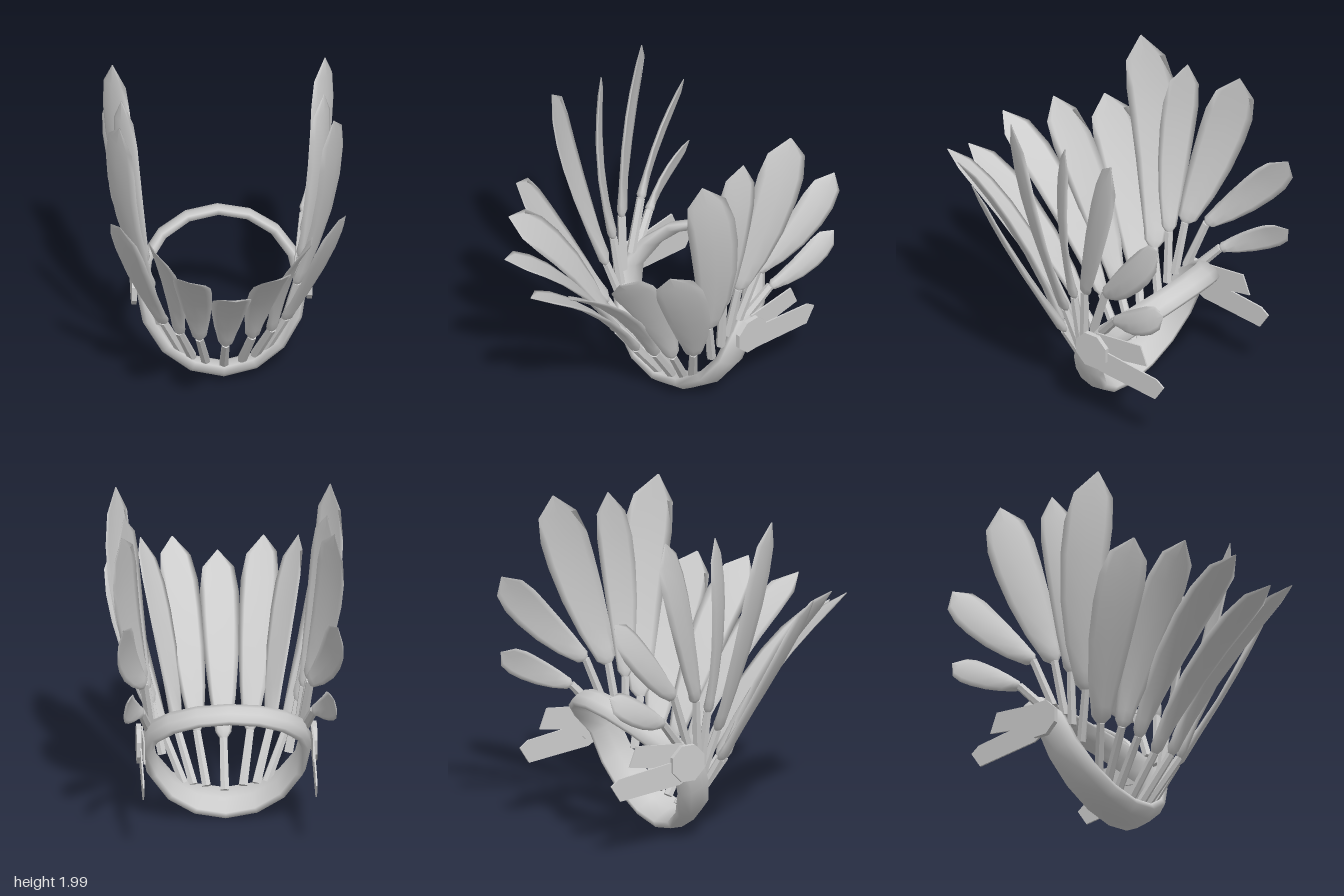
import * as THREE from 'three';

const V = (x, y, z) => new THREE.Vector3(x, y, z);
const material = new THREE.MeshStandardMaterial({ color: 0xcccccc, side: THREE.DoubleSide });
const flat = new THREE.MeshStandardMaterial({ color: 0xcccccc, side: THREE.DoubleSide, flatShading: true });

function add(parent, name, geometry, mat = material) {
  const mesh = new THREE.Mesh(geometry, mat);
  mesh.name = name;
  parent.add(mesh);
}

// Skin a list of equal-length point rings; "loop" joins the last ring to the first.
function loft(rings, loop = false) {
  const n = rings[0].length, m = rings.length, index = [];
  for (let i = 0; i < (loop ? m : m - 1); i++) {
    for (let j = 0; j < n; j++) {
      const k = (j + 1) % n, next = ((i + 1) % m) * n;
      index.push(i * n + j, i * n + k, next + j, i * n + k, next + k, next + j);
    }
  }
  const g = new THREE.BufferGeometry().setFromPoints(rings.flat());
  g.setIndex(index);
  g.computeVertexNormals();
  return g;
}

// Flat band: bent at the sides, with a constant width direction.
function bandGeometry() {
  const axis = V(0, 0.36, 0.93).normalize(), steps = 16;
  const centre = (i) => {
    const a = (i / steps) * Math.PI * 2, s = -Math.cos(a);
    return s < 0
      ? V(0.475 * Math.sin(a), 0.55 + 0.48 * s, -0.34 - 0.175 * s)
      : V(0.475 * Math.sin(a), 0.55 + 0.31 * s, -0.34 - 0.35 * s);
  };
  const section = [[1, 0.4], [0.4, 1], [-0.4, 1], [-1, 0.4], [-1, -0.5], [0, -0.9], [1, -0.5]];
  const rings = [];
  for (let i = 0; i < steps; i++) {
    const t = centre(i + 1).sub(centre(i - 1)).normalize();
    const v = t.clone().cross(axis).normalize();
    const back = (1 - Math.cos((i / steps) * Math.PI * 2)) / 2;
    rings.push(section.map(([p, q]) => centre(i)
      .addScaledVector(axis, p * (0.115 - 0.038 * back))
      .addScaledVector(v, q * (0.046 - 0.012 * back))));
  }
  return loft(rings, true);
}

// Blade outline: position along the quill, share of full width, half thickness.
const outline = [
  [0, 0.2, 0.018], [0.03, 0.42, 0.03], [0.08, 0.49, 0.026], [0.2, 0.69, 0.018], [0.4, 0.9, 0.014],
  [0.6, 1.01, 0.012], [0.75, 1.02, 0.01], [0.89, 0.83, 0.008], [1, 0.03, 0.003],
];

function bladeGeometry(base, tip, bow, facing, halfWidth) {
  const mid = base.clone().lerp(tip, 0.5).addScaledVector(bow, 2);
  const curve = new THREE.QuadraticBezierCurve3(base, mid, tip);
  const rings = outline.map(([t, w, thick]) => {
    const c = curve.getPoint(t), dir = curve.getTangent(t);
    const side = dir.clone().cross(facing).normalize();
    const normal = side.clone().cross(dir);
    const ring = [];
    for (let j = 0; j < 8; j++) {
      const a = (j / 8) * Math.PI * 2, u = Math.cos(a);
      // The edges cup slightly away from the outer face.
      const depth = -Math.sin(a) * thick - u * u * w * halfWidth * 0.15;
      ring.push(c.clone().addScaledVector(side, u * w * halfWidth).addScaledVector(normal, depth));
    }
    return ring;
  });
  return loft(rings);
}

function stemGeometry(from, to) {
  const d = to.clone().sub(from);
  const g = new THREE.CylinderGeometry(0.026, 0.03, d.length(), 6);
  g.applyQuaternion(new THREE.Quaternion().setFromUnitVectors(V(0, 1, 0), d.normalize()));
  const c = from.clone().lerp(to, 0.5);
  return g.translate(c.x, c.y, c.z);
}

// Left side, front to back: root, blade base, tip, bow, facing angle, half width.
const feathers = [
  [[0, 0.13, -0.11], [0, 0.39, 0.08], [0, 1.25, 0.965], [0, 0.06, -0.05], 0, 0.115],
  [[0.11, 0.16, -0.11], [0.16, 0.44, 0.08], [0.275, 1.365, 0.915], [0, 0.06, -0.05], 14, 0.115],
  [[0.19, 0.18, -0.13], [0.28, 0.47, 0.05], [0.475, 1.455, 0.685], [-0.01, 0.05, -0.04], 50, 0.12],
  [[0.25, 0.2, -0.15], [0.37, 0.49, -0.04], [0.66, 1.475, 0.44], [0.05, 0.02, 0], 48, 0.14],
  [[0.38, 0.4, -0.18], [0.44, 0.7, -0.1], [0.645, 2, 0.155], [0.08, 0, -0.01], 57, 0.145],
  [[0.43, 0.5, -0.21], [0.47, 0.83, -0.19], [0.61, 1.95, -0.225], [0.03, 0, 0.045], 52, 0.105],
  [[0.45, 0.57, -0.25], [0.5, 0.92, -0.29], [0.64, 1.975, -0.595], [0.045, 0, 0], 58, 0.142],
  [[0.46, 0.65, -0.33], [0.5, 0.97, -0.45], [0.645, 1.52, -0.955], [0.045, -0.025, 0], 55, 0.11],
  [[0.47, 0.66, -0.4], [0.52, 0.82, -0.54], [0.62, 1.06, -0.975], [0.035, -0.02, 0.01], 55, 0.085],
];

// Side ribbons drawn as (z, y) corners.
const ribbons = [
  [[-0.35, 0.55], [-0.39, 0.67], [-0.72, 0.7], [-0.77, 0.575], [-0.4, 0.52]],
  [[-0.35, 0.46], [-0.44, 0.57], [-0.85, 0.515], [-0.905, 0.475], [-0.84, 0.375], [-0.42, 0.42]],
];

export function createModel() {
  const model = new THREE.Group();
  model.name = 'featherHeaddress';
  add(model, 'headband', bandGeometry());

  for (const side of [1, -1]) {
    const label = side > 0 ? 'left' : 'right';
    const point = ([x, y, z]) => V(x * side, y, z);

    feathers.forEach(([root, base, tip, bow, angle, halfWidth], i) => {
      if (i === 0 && side < 0) return;
      const feather = new THREE.Group();
      feather.name = i === 0 ? 'centreFeather' : `${label}Feather${i}`;
      const a = THREE.MathUtils.degToRad(angle);
      const facing = V(Math.sin(a) * side, 0, Math.cos(a));
      add(feather, 'stem', stemGeometry(point(root), point(base)), flat);
      add(feather, 'blade', bladeGeometry(point(base), point(tip), point(bow), facing, halfWidth));
      model.add(feather);
    });

    // Octagonal side disc
    const disc = new THREE.CylinderGeometry(0.12, 0.12, 0.03, 8);
    disc.rotateY(Math.PI / 8).rotateZ(Math.PI / 2).translate(0.528 * side, 0.55, -0.37);
    add(model, `${label}Disc`, disc, flat);

    // Pair of ribbons trailing from the disc
    ribbons.forEach((corners, i) => {
      const shape = new THREE.Shape(corners.map(([z, y]) => new THREE.Vector2(z, y)));
      const g = new THREE.ExtrudeGeometry(shape, { depth: 0.01, bevelEnabled: false });
      g.rotateY(-Math.PI / 2).translate(side * (0.51 + 0.01 * i) + 0.005, 0, 0);
      add(model, `${label}Ribbon${i + 1}`, g, flat);
    });
  }
  return model;
}
